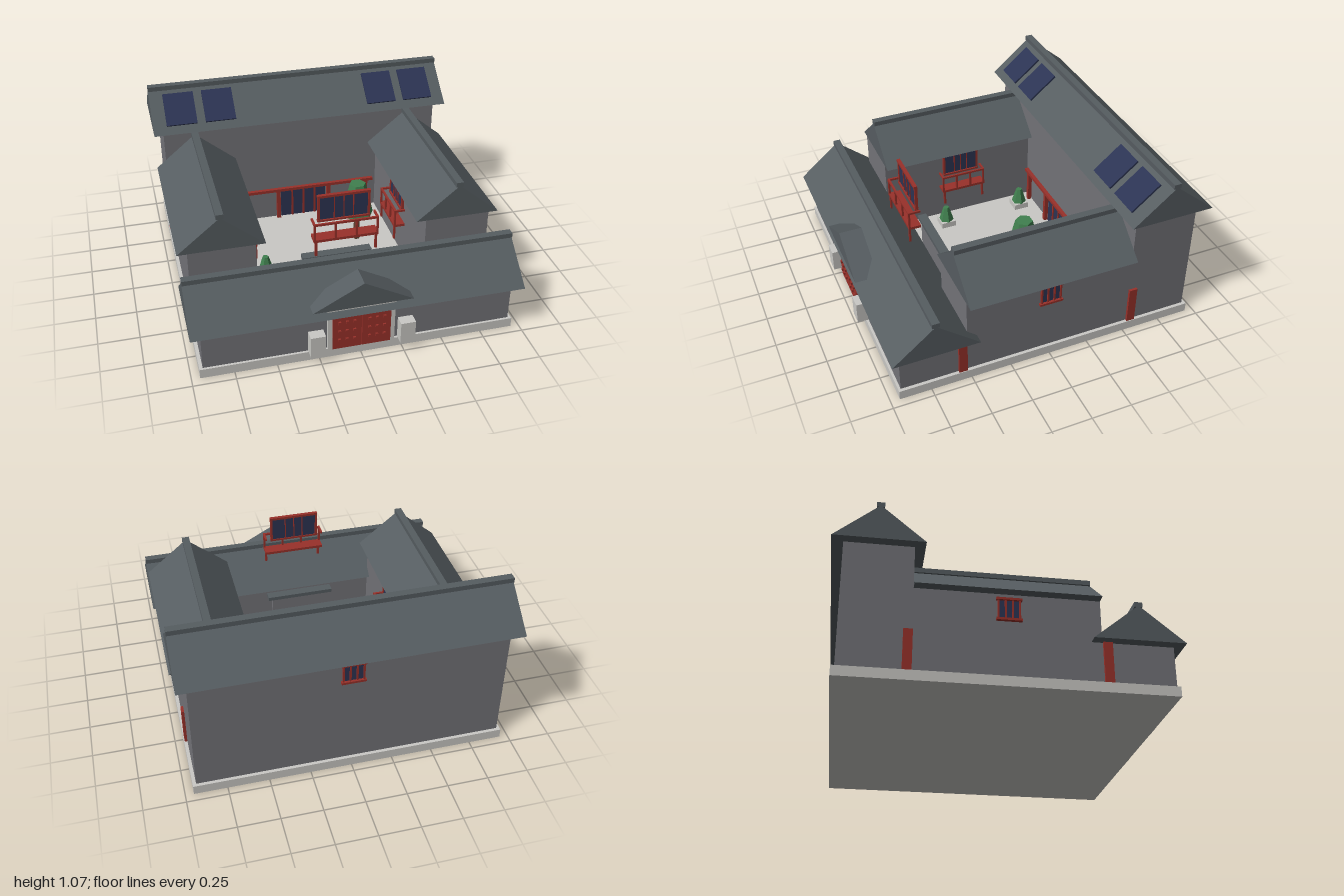
import * as THREE from 'three';

const mat = (name, color) => {
  const m = new THREE.MeshStandardMaterial({ color });
  m.name = name;
  return m;
};

export function createModel() {
  const wall = mat('grey brick', 0x737378);
  const roof = mat('slate tile', 0x565d61);
  const stone = mat('pale stone', 0xcac9c5);
  const red = mat('red lacquer', 0x99312a);
  const navy = mat('navy glass', 0x2c3453);
  const green = mat('leaf green', 0x40804f);
  const brown = mat('bark brown', 0x5c4030);

  const model = new THREE.Group();
  model.name = 'courtyardHouse';

  // Box given by its min and max on each axis
  const box = (parent, name, m, x0, x1, y0, y1, z0, z1) => {
    const mesh = new THREE.Mesh(new THREE.BoxGeometry(x1 - x0, y1 - y0, z1 - z0), m);
    mesh.position.set((x0 + x1) / 2, (y0 + y1) / 2, (z0 + z1) / 2);
    mesh.name = name;
    parent.add(mesh);
    return mesh;
  };
  const group = (name, x, y, z, turn = 0) => {
    const g = new THREE.Group();
    g.name = name;
    g.position.set(x, y, z);
    g.rotation.y = turn;
    model.add(g);
    return g;
  };
  // Solid gable prism running along local z
  const gable = (parent, name, halfWidth, height, length) => {
    const s = new THREE.Shape([
      new THREE.Vector2(-halfWidth, 0),
      new THREE.Vector2(halfWidth, 0),
      new THREE.Vector2(0, height),
    ]);
    const geo = new THREE.ExtrudeGeometry(s, { depth: length, bevelEnabled: false });
    geo.translate(0, 0, -length / 2);
    const mesh = new THREE.Mesh(geo, roof);
    mesh.name = name;
    parent.add(mesh);
  };
  const tiledRoof = (name, x, y, z, turn, length) => {
    const g = group(name, x, y, z, turn);
    gable(g, 'roofSlopes', 0.263, 0.217, length);
    box(g, 'ridgeCap', roof, -0.023, 0.023, 0.208, 0.238, -length / 2, length / 2);
  };

  // Plinth and the four ranges around the courtyard
  box(model, 'plinth', stone, -0.95, 0.95, 0, 0.06, -0.95, 0.945);
  box(model, 'frontRangeWalls', wall, -0.93, 0.93, 0.06, 0.306, 0.52, 0.93);
  tiledRoof('frontRoof', 0, 0.305, 0.723, Math.PI / 2, 1.985);
  box(model, 'rearHallWalls', wall, -0.93, 0.93, 0.06, 0.828, -0.93, -0.53);
  tiledRoof('rearRoof', 0, 0.827, -0.733, Math.PI / 2, 1.985);
  for (const s of [-1, 1]) {
    const a = Math.min(s * 0.525, s * 0.93), b = Math.max(s * 0.525, s * 0.93);
    box(model, 'wingWalls', wall, a, b, 0.06, 0.566, -0.53, 0.52);
    tiledRoof('wingRoof', s * 0.728, 0.565, -0.005, 0, 1.05);
    // Red corner posts on the outer walls
    for (const z of [0.55, -0.553]) {
      box(model, 'cornerPost', red, s * 0.937 - 0.009, s * 0.937 + 0.009, 0.06, 0.305, z - 0.026, z + 0.026);
    }
  }

  // Small lattice windows on the outer walls
  const latticeWindow = (x, y, z, turn) => {
    const g = group('latticeWindow', x, y, z, turn);
    box(g, 'pane', navy, -0.06, 0.06, -0.06, 0.06, 0, 0.005);
    for (const v of [-0.063, 0.063]) box(g, 'rail', red, -0.073, 0.073, v - 0.007, v + 0.007, 0, 0.02);
    for (const u of [-0.06, -0.02, 0.02, 0.06]) box(g, 'bar', red, u - 0.005, u + 0.005, -0.06, 0.06, 0, 0.014);
  };
  latticeWindow(0.93, 0.467, 0, Math.PI / 2);
  latticeWindow(-0.93, 0.467, 0, -Math.PI / 2);
  latticeWindow(0, 0.723, -0.93, Math.PI);

  // Balcony with a glazed window behind it; local origin at deck level on the wall
  const balcony = (x, y, z, turn, half, depth) => {
    const g = group('balcony', x, y, z, turn);
    const k = half / 0.2;
    box(g, 'deck', red, -half, half, 0, 0.017, 0, depth);
    box(g, 'handrail', red, -half, half, 0.112, 0.125, depth - 0.012, depth);
    for (const s of [-1, 1]) {
      const u = s * (half - 0.006);
      box(g, 'sideRail', red, u - 0.006, u + 0.006, 0.112, 0.125, 0, depth);
      box(g, 'bracket', red, u - s * 0.008 - 0.007, u - s * 0.008 + 0.007, -0.095, 0, depth - 0.014, depth - 0.002);
    }
    for (const u of [-half + 0.006, -0.065 * k, 0.065 * k, half - 0.006]) {
      box(g, 'baluster', red, u - 0.006, u + 0.006, 0.017, 0.112, depth - 0.012, depth);
    }
    const w = 0.155 * k;
    box(g, 'glass', navy, -w, w, 0.11, 0.27, 0.005, 0.012);
    box(g, 'windowHead', red, -w - 0.008, w + 0.008, 0.265, 0.28, 0, 0.022);
    box(g, 'windowSill', red, -w - 0.008, w + 0.008, 0.103, 0.115, 0, 0.022);
    for (const t of [-1, -0.38, 0, 0.38, 1]) {
      const r = Math.abs(t) === 1 ? 0.007 : 0.003;
      box(g, 'mullion', red, t * w - r, t * w + r, 0.11, 0.27, 0, 0.018);
    }
  };
  balcony(0, 0.573, 0.522, 0, 0.197, 0.078);
  balcony(0.525, 0.286, -0.012, -Math.PI / 2, 0.153, 0.072);
  balcony(-0.525, 0.286, -0.012, Math.PI / 2, 0.153, 0.072);

  // Main gate: leaves with studs, stone frame, guard stones and canopy
  const gate = group('mainGate', 0, 0, 0);
  box(gate, 'lintel', stone, -0.205, 0.205, 0.305, 0.343, 0.925, 0.953);
  for (const s of [-1, 1]) {
    const span = (a, b) => (s > 0 ? [a, b] : [-b, -a]);
    box(gate, 'doorLeaf', red, ...span(0.002, 0.175), 0.06, 0.307, 0.925, 0.957);
    box(gate, 'gateJamb', stone, ...span(0.175, 0.202), 0.06, 0.307, 0.925, 0.95);
    box(gate, 'guardStone', stone, ...span(0.225, 0.315), 0.06, 0.2, 0.932, 0.998);
    for (const x of [0.045, 0.09, 0.135]) {
      for (const y of [0.125, 0.187, 0.25]) {
        box(gate, 'doorStud', red, s * x - 0.008, s * x + 0.008, y - 0.008, y + 0.008, 0.957, 0.968);
      }
    }
  }
  gable(group('gateCanopy', 0, 0.365, 0.914), 'canopyRoof', 0.298, 0.16, 0.142);

  // Screen wall behind the gate
  box(model, 'screenWall', wall, -0.19, 0.19, 0.06, 0.31, 0.365, 0.395);
  box(model, 'screenWallCap', roof, -0.22, 0.22, 0.31, 0.335, 0.35, 0.408);

  // Rear hall porch: beam, posts and glazed centre door
  const porch = group('porch', 0, 0, -0.53);
  box(porch, 'porchBeam', red, -0.5, 0.5, 0.272, 0.292, 0.005, 0.03);
  for (const x of [-0.45, -0.18, 0.18, 0.45]) {
    box(porch, 'porchPost', red, x - 0.013, x + 0.013, 0.06, 0.275, 0.004, 0.03);
  }
  box(porch, 'doorGlass', navy, -0.16, 0.16, 0.06, 0.272, 0, 0.006);
  for (const x of [-0.08, 0, 0.08]) box(porch, 'doorMullion', red, x - 0.006, x + 0.006, 0.06, 0.272, 0, 0.014);

  // Solar panels laid along the rear roof's front slope
  for (const x of [-0.805, -0.55, 0.55, 0.805]) {
    const p = new THREE.Mesh(new THREE.BoxGeometry(0.2, 0.012, 0.228), navy);
    p.position.set(x, 0.948, -0.592);
    p.rotation.x = Math.atan2(0.217, 0.263);
    p.name = 'solarPanel';
    model.add(p);
  }

  // Six-sided tree and potted shrubs
  const taper = (name, m, rTop, rBottom, x, y0, y1, z) => {
    const geo = new THREE.CylinderGeometry(rTop, rBottom, y1 - y0, 6).toNonIndexed();
    geo.rotateY(Math.PI / 6);
    geo.computeVertexNormals();
    const mesh = new THREE.Mesh(geo, m);
    mesh.position.set(x, (y0 + y1) / 2, z);
    mesh.name = name;
    model.add(mesh);
  };
  taper('treeTrunk', brown, 0.018, 0.024, 0.28, 0.06, 0.28, -0.13);
  taper('treeCrown', green, 0.055, 0.11, 0.28, 0.26, 0.49, -0.13);
  for (const [x, z] of [[-0.405, -0.412], [0.4, -0.412], [-0.405, 0.14]]) {
    box(model, 'planter', stone, x - 0.05, x + 0.05, 0.06, 0.1, z - 0.05, z + 0.05);
    taper('shrub', green, 0.02, 0.05, x, 0.1, 0.2, z);
  }

  return model;
}
